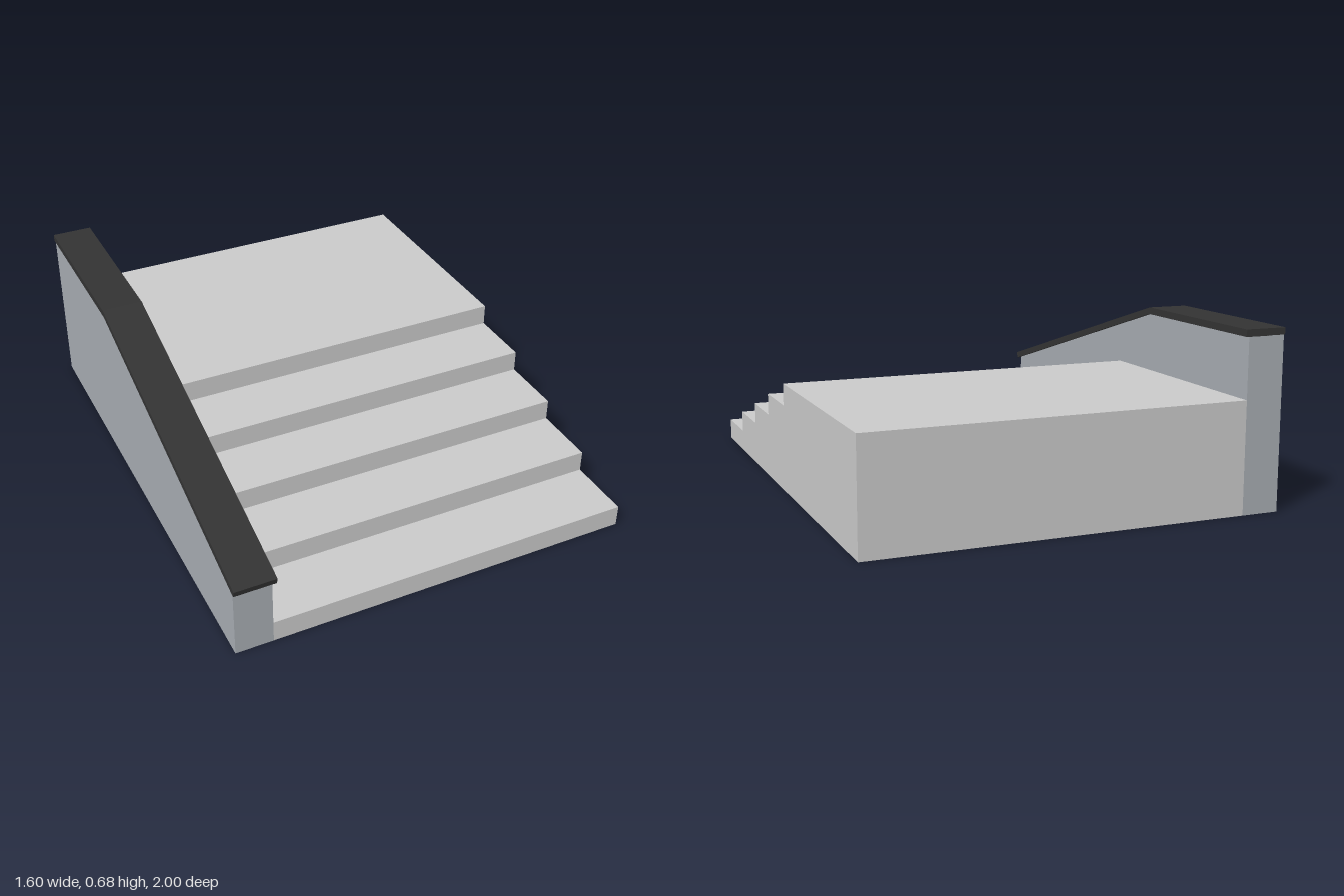
import * as THREE from 'three';

function material(name, color) {
  const m = new THREE.MeshStandardMaterial({ color });
  m.name = name;
  return m;
}

// Extrudes a side profile of [z, y] points across the width x0..x1
function sideProfile(name, points, x0, x1, mat) {
  const shape = new THREE.Shape(points.map(([z, y]) => new THREE.Vector2(z, y)));
  const geo = new THREE.ExtrudeGeometry(shape, { depth: x1 - x0, bevelEnabled: false });
  geo.rotateY(-Math.PI / 2);
  geo.translate(x1, 0, 0);
  const mesh = new THREE.Mesh(geo, mat);
  mesh.name = name;
  return mesh;
}

export function createModel() {
  const group = new THREE.Group();
  group.name = 'stairs';
  const concrete = material('light concrete', 0xc9c9c9);
  const stone = material('blue grey wall', 0xa6abb1);
  const dark = material('dark coping', 0x333333);

  // Five risers, the last one reaching the landing
  const rise = 0.085, run = 0.2575, front = 0.975, back = -1;
  const steps = [[back, 0], [front, 0]];
  for (let i = 0; i < 5; i++) {
    const z = front - i * run;
    if (i > 0) steps.push([z, i * rise]);
    steps.push([z, (i + 1) * rise]);
  }
  steps.push([back, 5 * rise]);
  group.add(sideProfile('steps', steps, -0.65, 0.8, concrete));

  // Solid side wall, sloped along the flight and level at the landing
  group.add(sideProfile('sideWall',
    [[back, 0], [front, 0], [front, 0.29], [-0.305, 0.654], [back, 0.654]],
    -0.795, -0.65, stone));

  // Coping on top of the wall, slightly wider and overhanging the front
  group.add(sideProfile('coping',
    [[back, 0.653], [-0.305, 0.653], [0.993, 0.283], [1, 0.308], [-0.31, 0.68], [back, 0.68]],
    -0.8, -0.64, dark));

  return group;
}
